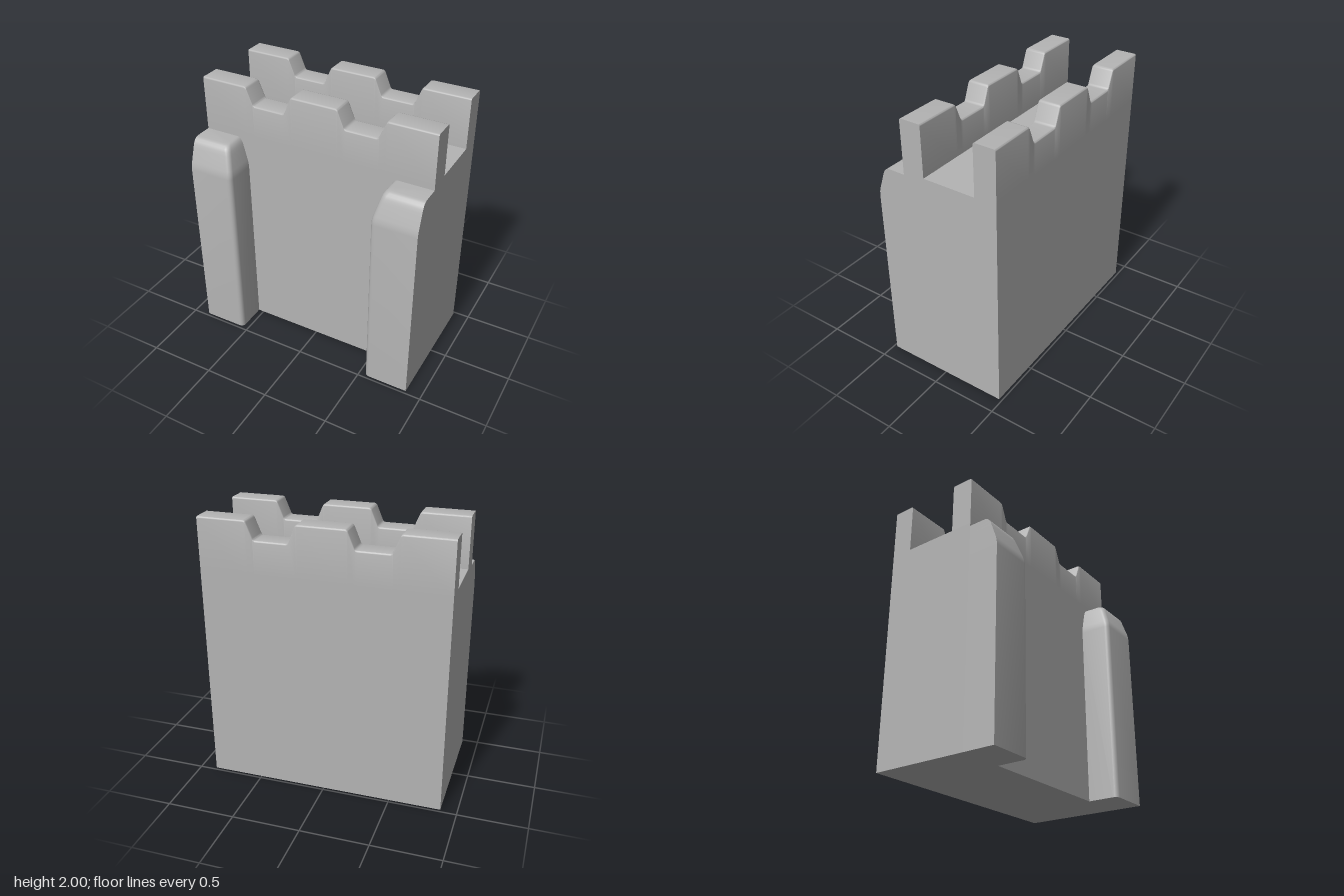
import * as THREE from 'three';
import { toCreasedNormals } from 'three/addons/utils/BufferGeometryUtils.js';

const HALF_W = 0.88, BACK = -0.478, FRONT = 0.245, WALK = 1.625;

// Solid through matching convex cross-sections, capped at both ends
function loft(sections) {
  const tris = [];
  const n = sections[0].length;
  for (let i = 0; i < sections.length - 1; i++) {
    const a = sections[i], b = sections[i + 1];
    for (let j = 0; j < n; j++) {
      const k = (j + 1) % n;
      tris.push([a[j], a[k], b[k]], [a[j], b[k], b[j]]);
    }
  }
  const first = sections[0], last = sections[sections.length - 1];
  for (let j = 1; j < n - 1; j++) {
    tris.push([first[0], first[j + 1], first[j]], [last[0], last[j], last[j + 1]]);
  }
  // Turn the faces outwards whichever way the sections run
  const cross = new THREE.Vector3();
  let volume = 0;
  for (const [a, b, c] of tris) volume += a.dot(cross.crossVectors(b, c));
  const points = tris.flatMap(([a, b, c]) => (volume > 0 ? [a, b, c] : [a, c, b]));
  const geometry = new THREE.BufferGeometry().setFromPoints(points);
  return toCreasedNormals(geometry, THREE.MathUtils.degToRad(35));
}

// Polyline with its inner corners softened
function softened(points, reach) {
  const result = [points[0]];
  for (let i = 1; i < points.length - 1; i++) {
    const p = points[i];
    const toward = (q) => q.clone().sub(p).setLength(reach).add(p);
    const bend = new THREE.QuadraticBezierCurve(toward(points[i - 1]), p, toward(points[i + 1]));
    result.push(...bend.getPoints(4));
  }
  result.push(points[points.length - 1]);
  return result;
}

// Crenellated parapet with rounded long edges and flat ends
function parapetGeometry(z0, z1) {
  const half = [[0.175, 2], [0.23, 1.867], [0.475, 1.867], [0.53, 2], [HALF_W, 2]];
  const crest = [...half.map(([x, y]) => [-x, y]).reverse(), ...half]
    .map(([x, y]) => new THREE.Vector2(x, y));
  const r = 0.012;
  return loft(softened(crest, 0.016).map(({ x, y }) => {
    const section = [new THREE.Vector3(x, WALK, z0)];
    for (let i = 0; i <= 3; i++) {
      const t = (i / 3) * Math.PI / 2;
      section.push(new THREE.Vector3(x, y - r + r * Math.sin(t), z0 + r - r * Math.cos(t)));
    }
    for (let i = 3; i >= 0; i--) {
      const t = (i / 3) * Math.PI / 2;
      section.push(new THREE.Vector3(x, y - r + r * Math.sin(t), z1 - r + r * Math.cos(t)));
    }
    section.push(new THREE.Vector3(x, WALK, z1));
    return section;
  }));
}

// Buttress with a rounded inner corner and a sloping, rounded shoulder
function buttressGeometry(side) {
  // height, inset of the inner face, inset of the front face
  const levels = [
    [0, 0, 0], [1.37, 0, 0], [1.4, 0.002, 0.003], [1.43, 0.008, 0.011],
    [1.53, 0.033, 0.045], [1.555, 0.04, 0.054], [1.575, 0.048, 0.064],
    [1.59, 0.059, 0.078], [1.597, 0.069, 0.09], [1.6, 0.082, 0.105],
  ];
  const r = 0.035;
  return loft(levels.map(([y, insetX, insetZ]) => {
    const inner = 0.543 + insetX, front = 0.477 - insetZ;
    const section = [
      new THREE.Vector3(side * HALF_W, y, FRONT),
      new THREE.Vector3(side * HALF_W, y, front),
    ];
    for (let i = 0; i <= 4; i++) {
      const t = (i / 4) * Math.PI / 2;
      section.push(new THREE.Vector3(
        side * (inner + r - r * Math.sin(t)), y, front - r + r * Math.cos(t)));
    }
    section.push(new THREE.Vector3(side * inner, y, FRONT));
    return section;
  }));
}

export function createModel() {
  const group = new THREE.Group();
  const stone = new THREE.MeshStandardMaterial({ color: 0xb4b4b4 });
  stone.name = 'grey stone';

  const add = (name, geometry) => {
    const mesh = new THREE.Mesh(geometry, stone);
    mesh.name = name;
    group.add(mesh);
    return mesh;
  };

  // Wall body up to the walkway
  const wall = add('wallBody', new THREE.BoxGeometry(2 * HALF_W, WALK, FRONT - BACK));
  wall.position.set(0, WALK / 2, (FRONT + BACK) / 2);

  // Parapets on either side of the walkway
  add('frontParapet', parapetGeometry(0.082, FRONT));
  add('backParapet', parapetGeometry(BACK, -0.315));

  // Front corner buttresses
  add('leftButtress', buttressGeometry(1));
  add('rightButtress', buttressGeometry(-1));

  return group;
}
